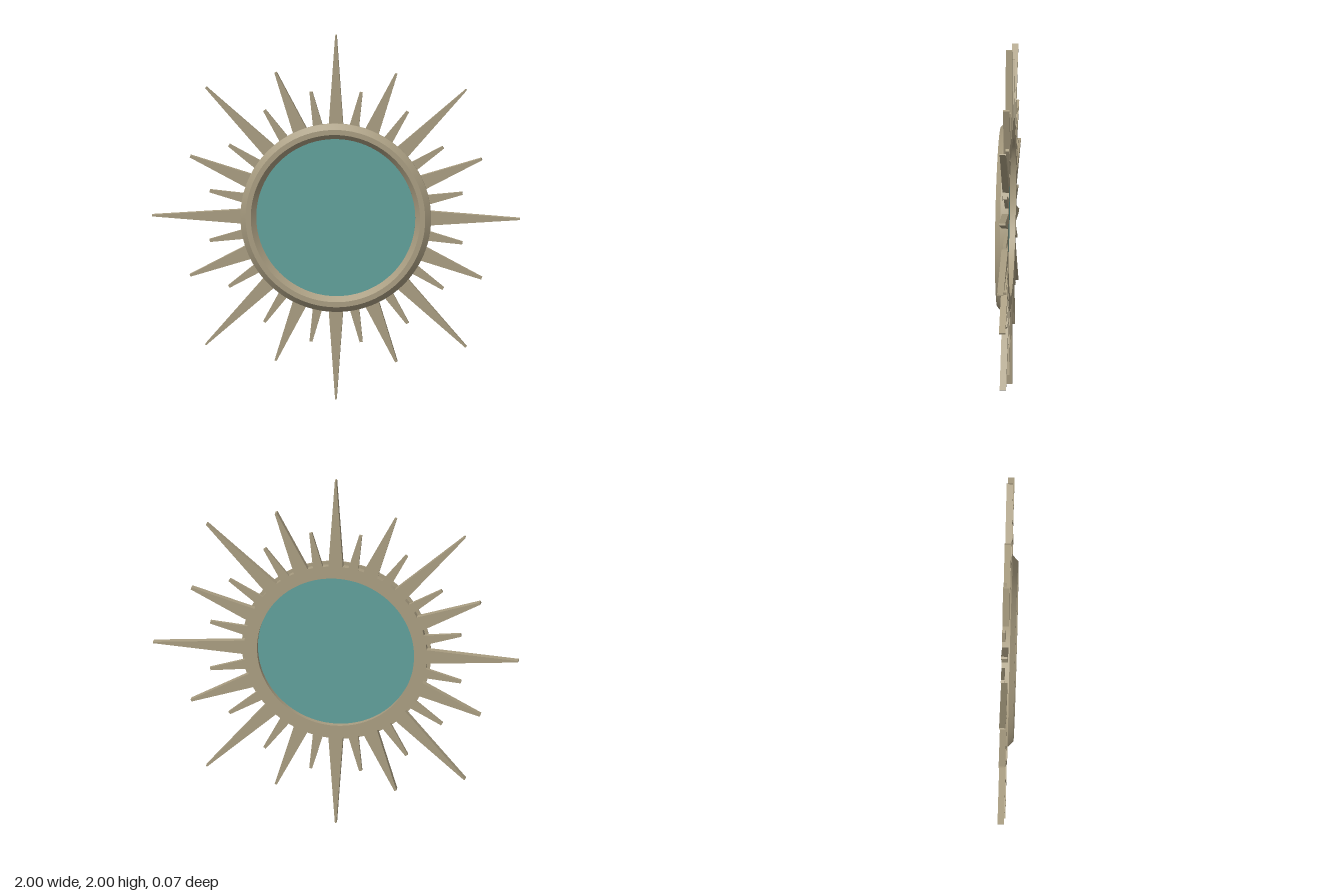
import * as THREE from 'three';
import { toCreasedNormals } from 'three/addons/utils/BufferGeometryUtils.js';

const DEPTH = 0.035;

export function createModel() {
  const model = new THREE.Group();
  model.name = 'sunburstMirror';

  const frameMat = new THREE.MeshStandardMaterial({ color: 0xa99d81 });
  frameMat.name = 'champagne';
  const glassMat = new THREE.MeshStandardMaterial({ color: 0x60a09b });
  glassMat.name = 'teal glass';

  const add = (name, geometry, material, parent = model) => {
    const mesh = new THREE.Mesh(geometry, material);
    mesh.name = name;
    parent.add(mesh);
    return mesh;
  };

  // Ring turned about the z axis from a closed [radius, z] profile
  const ring = (profile) => {
    const points = [...profile, profile[0]].map(([r, z]) => new THREE.Vector2(r, z));
    const geometry = new THREE.LatheGeometry(points, 96).rotateX(Math.PI / 2);
    return toCreasedNormals(geometry, 0.4);
  };

  // Tapered flat spike along +y
  const ray = (length, baseHalf, tipHalf, depth) => {
    const shape = new THREE.Shape([
      new THREE.Vector2(-baseHalf, 0.48),
      new THREE.Vector2(baseHalf, 0.48),
      new THREE.Vector2(tipHalf, length),
      new THREE.Vector2(-tipHalf, length),
    ]);
    return new THREE.ExtrudeGeometry(shape, { depth, bevelEnabled: false })
      .translate(0, 0, -DEPTH);
  };

  // Bevelled front rim
  add('frontRim', ring([
    [0.43, 0], [0.518, 0], [0.518, 0.008], [0.488, 0.036], [0.46, 0.036],
  ]), frameMat);

  // Flat backing ring that carries the rays
  add('backingRing', ring([
    [0.43, -DEPTH], [0.5, -DEPTH], [0.5, 0], [0.43, 0],
  ]), frameMat);

  // Mirror glass
  add('mirrorGlass',
    new THREE.CylinderGeometry(0.432, 0.432, 0.006, 96).rotateX(Math.PI / 2),
    glassMat);

  // Rays: long, short, medium, short, repeating
  const long = ray(1, 0.041, 0.004, DEPTH);
  const medium = ray(0.857, 0.042, 0.006, DEPTH);
  const short = ray(0.7, 0.029, 0.008, 0.019);
  const sequence = [
    ['longRay', long], ['shortRay', short], ['mediumRay', medium], ['shortRay', short],
  ];
  const rays = new THREE.Group();
  rays.name = 'rays';
  model.add(rays);
  for (let i = 0; i < 32; i++) {
    const [name, geometry] = sequence[i % 4];
    add(name, geometry, frameMat, rays).rotation.z = (i / 32) * Math.PI * 2;
  }

  model.position.y = 1;
  const root = new THREE.Group();
  root.name = 'model';
  root.add(model);
  return root;
}
